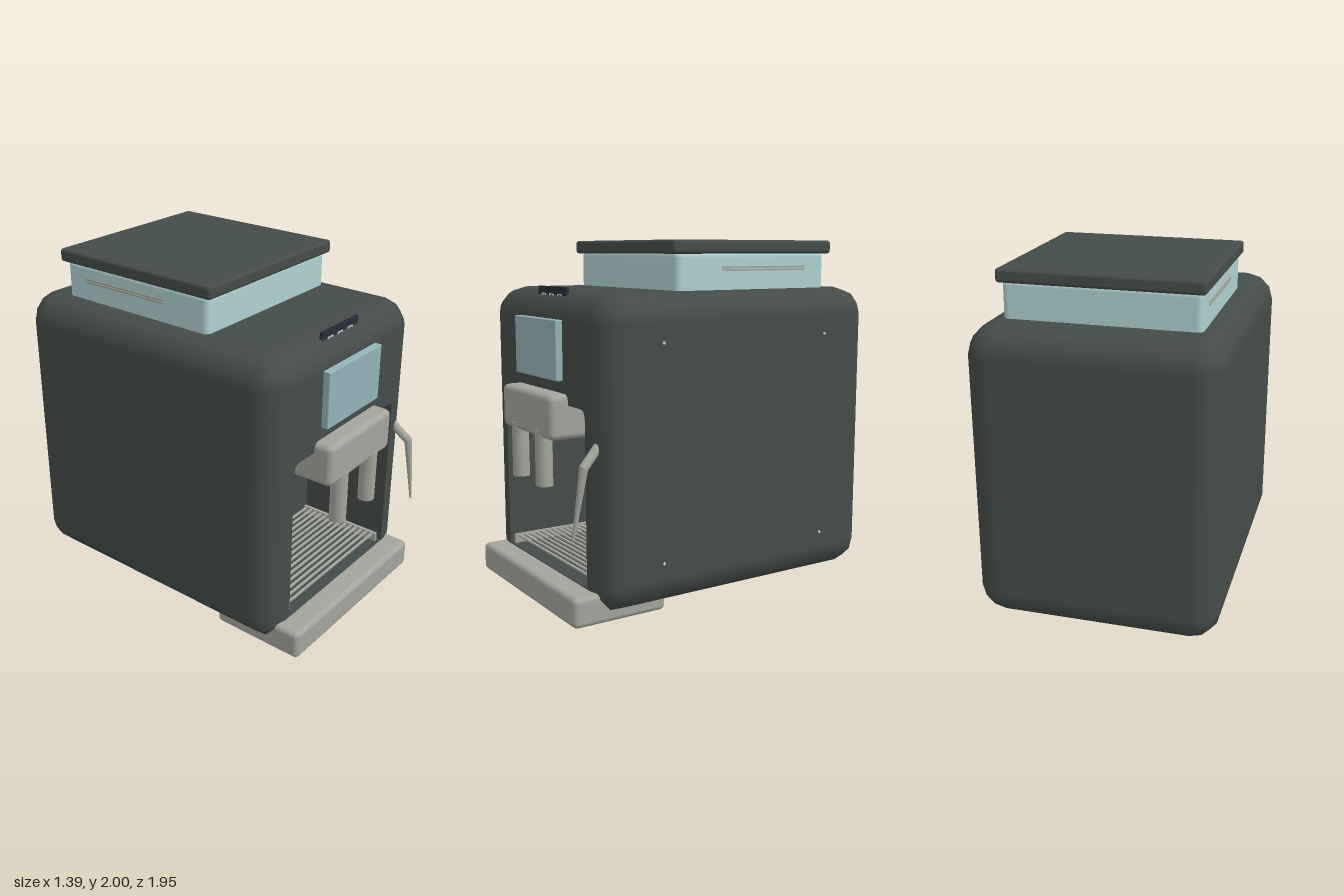
import * as THREE from 'three';
import { RoundedBoxGeometry } from 'three/addons/geometries/RoundedBoxGeometry.js';

const mat = (color, side = THREE.FrontSide) => new THREE.MeshStandardMaterial({ color, side });
const DARK = mat(0x444c49), DARK2 = mat(0x444c49, THREE.DoubleSide);
const METAL = mat(0xa3a49b), GLASS = mat(0xafd0d0), SCREEN = mat(0x93b3b9);
const PANEL = mat(0x262f3a), LIGHT = mat(0xc4c8c8);

function add(parent, name, geometry, material, x = 0, y = 0, z = 0) {
  const mesh = new THREE.Mesh(geometry, material);
  mesh.name = name;
  mesh.position.set(x, y, z);
  parent.add(mesh);
  return mesh;
}

// Box given by its limits, optionally with rounded edges
function box(parent, name, material, [x0, x1], [y0, y1], [z0, z1], radius = 0) {
  const s = [x1 - x0, y1 - y0, z1 - z0];
  const g = radius ? new RoundedBoxGeometry(...s, 3, radius) : new THREE.BoxGeometry(...s);
  return add(parent, name, g, material, (x0 + x1) / 2, (y0 + y1) / 2, (z0 + z1) / 2);
}

// Tapered round bar between two points
function bar(parent, name, material, a, b, ra, rb, sides = 10) {
  const from = new THREE.Vector3(...a), dir = new THREE.Vector3(...b).sub(from);
  const mesh = add(parent, name, new THREE.CylinderGeometry(rb, ra, dir.length(), sides), material);
  mesh.position.copy(from).addScaledVector(dir, 0.5);
  mesh.quaternion.setFromUnitVectors(new THREE.Vector3(0, 1, 0), dir.normalize());
  return mesh;
}

// Skin between closed rings of [x, y, z] points
function loft(rings, normals) {
  const n = rings[0].length, index = [];
  for (let i = 0; i < rings.length - 1; i++) {
    for (let j = 0; j < n; j++) {
      const a = i * n + j, b = i * n + (j + 1) % n;
      index.push(a, b, b + n, a, b + n, a + n);
    }
  }
  const g = new THREE.BufferGeometry();
  g.setAttribute('position', new THREE.Float32BufferAttribute(rings.flat(2), 3));
  g.setIndex(index);
  if (normals) g.setAttribute('normal', new THREE.Float32BufferAttribute(normals.flat(2), 3));
  else g.computeVertexNormals();
  return g;
}

// Outline of the cup bay with rounded top corners
function bayShape() {
  const s = new THREE.Shape(), l = -0.495, r = 0.495, b = 0.172, t = 1.13, c = 0.05;
  s.moveTo(l, b);
  s.lineTo(r, b);
  s.lineTo(r, t - c);
  s.quadraticCurveTo(r, t, r - c, t);
  s.lineTo(l + c, t);
  s.quadraticCurveTo(l, t, l, t - c);
  s.closePath();
  return s;
}

function createBody() {
  const body = new THREE.Group();
  body.name = 'body';
  const R = 0.16, HX = 0.53, LOW = 0.21, HIGH = 1.57, ZB = -0.815, ZF = 0.68, STEPS = 3;
  const rings = [], normals = [];

  // Shell with coarse rounded edges; the lower front edge is a little tighter
  for (const end of [-1, 1]) {
    for (let k = 0; k <= STEPS; k++) {
      const t = (end < 0 ? k - STEPS : k) / STEPS * Math.PI / 2;
      const ring = [], norm = [];
      for (let q = 0; q < 4; q++) {
        const right = q === 0 || q === 3, top = q < 2;
        const cx = right ? HX : -HX;
        const cy = top ? HIGH : LOW - 0.04 * Math.max(0, Math.sin(t));
        for (let m = 0; m <= STEPS; m++) {
          const p = (q + m / STEPS) * Math.PI / 2;
          const n = [Math.cos(p) * Math.cos(t), Math.sin(p) * Math.cos(t), Math.sin(t)];
          ring.push([cx + R * n[0], cy + R * n[1], (end < 0 ? ZB : ZF) + R * n[2]]);
          norm.push(n);
        }
      }
      rings.push(ring);
      normals.push(norm);
    }
  }
  add(body, 'shell', loft(rings, normals), DARK);

  // Front face with the opening, and the plain back face
  const bay = bayShape(), low = LOW - 0.04;
  const face = new THREE.Shape([[-HX, low], [HX, low], [HX, HIGH], [-HX, HIGH]]
    .map(([x, y]) => new THREE.Vector2(x, y)));
  face.holes.push(bay);
  add(body, 'frontFace', new THREE.ShapeGeometry(face, 4), DARK, 0, 0, ZF + R);
  const back = new THREE.PlaneGeometry(HX * 2, HIGH - LOW).rotateY(Math.PI);
  add(body, 'backFace', back, DARK, 0, (HIGH + LOW) / 2, ZB - R);

  // Cup bay walls and rear wall
  const outline = bay.getPoints(4), depth = 0.27;
  const walls = loft([ZF + R, depth].map(z => outline.map(p => [p.x, p.y, z]))).toNonIndexed();
  walls.computeVertexNormals();
  add(body, 'bayWalls', walls, DARK2);
  add(body, 'bayRearWall', new THREE.ShapeGeometry(bay, 4), DARK, 0, 0, depth);
  return body;
}

export function createModel() {
  const model = new THREE.Group();
  model.name = 'coffeeMachine';
  model.add(createBody());

  // Bean hopper, lid and side slots
  box(model, 'hopper', GLASS, [-0.535, 0.535], [1.69, 1.94], [-0.735, 0.3], 0.035);
  box(model, 'lid', DARK, [-0.555, 0.555], [1.925, 2], [-0.77, 0.33], 0.018);
  for (const s of [-1, 1]) {
    for (const y of [1.836, 1.851]) {
      box(model, 'hopperSlot', METAL, [s * 0.535 - 0.004, s * 0.535 + 0.004],
        [y - 0.005, y + 0.005], [-0.585, 0]);
    }
  }

  // Display and button strip with three outlined keys
  box(model, 'screen', SCREEN, [-0.257, 0.253], [1.255, 1.58], [0.835, 0.88], 0.006);
  box(model, 'buttonStrip', PANEL, [-0.175, 0.17], [1.685, 1.747], [0.752, 0.768]);
  for (const x of [-0.1, -0.005, 0.09]) {
    const key = new THREE.Group();
    key.name = 'button';
    for (const s of [-1, 1]) {
      box(key, 'buttonSide', LIGHT, [s * 0.021 - 0.003, s * 0.021 + 0.003], [1.688, 1.708], [0.766, 0.772]);
    }
    box(key, 'buttonTop', LIGHT, [-0.024, 0.024], [1.703, 1.709], [0.766, 0.772]);
    key.position.x = x;
    model.add(key);
  }

  // Brew head and twin spouts
  box(model, 'brewHead', METAL, [-0.312, 0.308], [0.943, 1.188], [0.4, 0.947], 0.035);
  for (const x of [-0.155, 0.145]) {
    bar(model, 'spout', METAL, [x, 0.672, 0.908], [x, 0.982, 0.908], 0.048, 0.048, 24);
  }

  // Steam wand: short arm and tapered pipe
  bar(model, 'wandArm', METAL, [0.575, 0.96, 0.8], [0.608, 0.85, 0.915], 0.026, 0.026);
  bar(model, 'wandPipe', METAL, [0.608, 0.865, 0.908], [0.594, 0.48, 0.969], 0.024, 0.007);

  // Drip tray with grille
  box(model, 'dripTray', METAL, [-0.603, 0.6], [0, 0.167], [0.41, 0.972], 0.03);
  for (const x of [-0.472, 0.465]) {
    box(model, 'grilleRail', METAL, [x - 0.01, x + 0.01], [0.165, 0.226], [0.28, 0.82]);
  }
  for (let i = 0; i < 14; i++) {
    const z = 0.3 + i * 0.038;
    box(model, 'grilleSlat', METAL, [-0.465, 0.46], [0.212, 0.222], [z - 0.007, z + 0.007]);
  }

  // Side panel screws
  for (const y of [0.3, 1.475]) {
    for (const z of [0.48, -0.61]) {
      add(model, 'screw', new THREE.CylinderGeometry(0.008, 0.008, 0.012, 12).rotateZ(Math.PI / 2), LIGHT, 0.69, y, z);
    }
  }
  return model;
}
